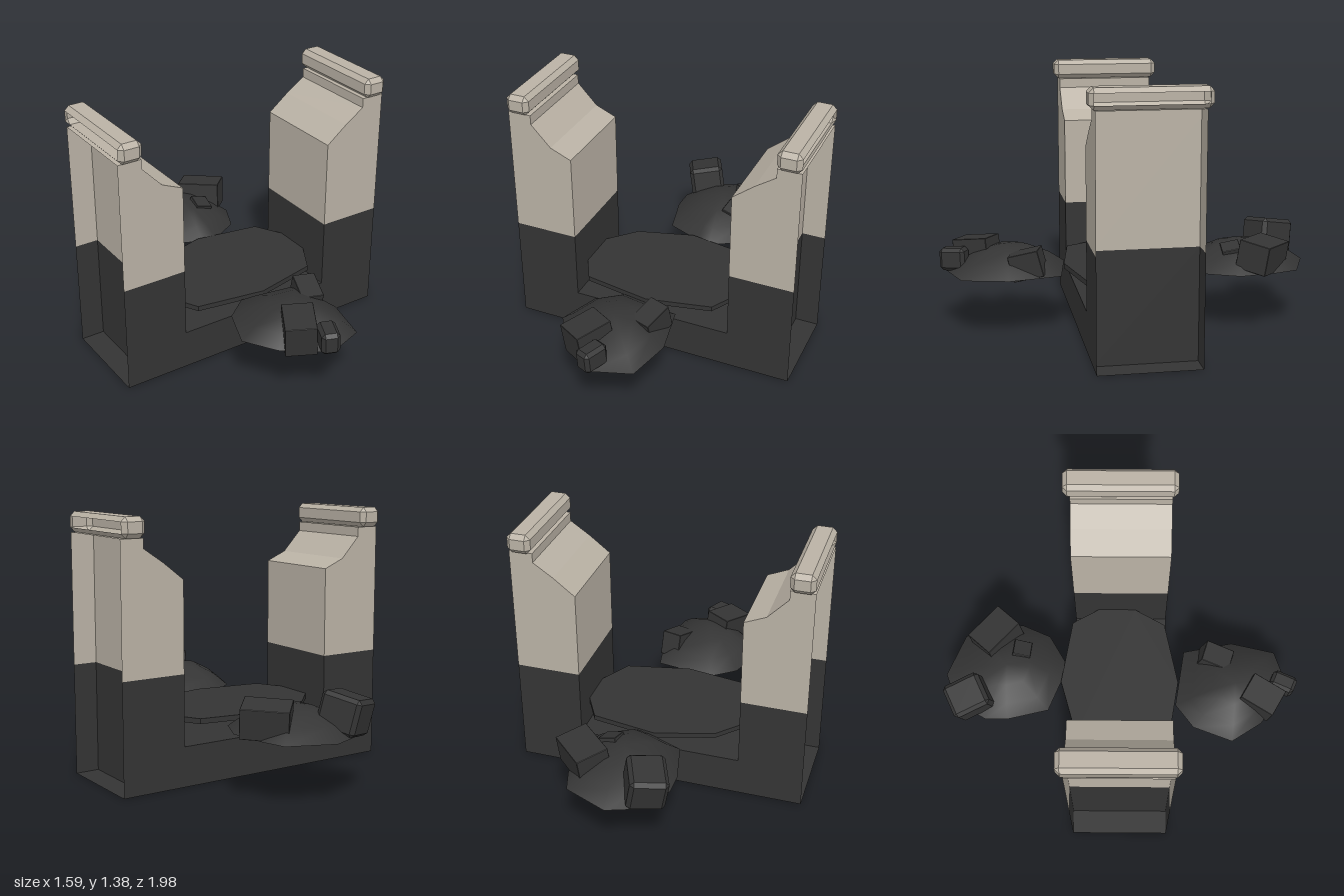
import * as THREE from 'three';
import { ConvexGeometry } from 'three/addons/geometries/ConvexGeometry.js';

export function createModel() {
  const model = new THREE.Group();
  const stone = new THREE.MeshStandardMaterial({ color: 0xbab2a5, side: THREE.DoubleSide });
  const black = new THREE.MeshStandardMaterial({ color: 0x343434, side: THREE.DoubleSide });
  stone.name = 'paleStone';
  black.name = 'charcoal';

  const add = (name, geometry, material, parent = model) => {
    const mesh = new THREE.Mesh(geometry, material);
    mesh.name = name;
    parent.add(mesh);
    return mesh;
  };

  const Z0 = -0.267, Z1 = 0.262, SPLIT = 0.587, TOP = 1.277;
  const INNER = 0.445, PANEL = 0.668, OUTER = 0.796;

  // Front-view outline pushed through the depth of the frame
  const slab = (pts, z0 = Z0, z1 = Z1) => {
    const shape = new THREE.Shape(pts.map(([x, y]) => new THREE.Vector2(x, y)));
    return new THREE.ExtrudeGeometry(shape, { depth: z1 - z0, bevelEnabled: false }).translate(0, 0, z0);
  };

  // Flat four-cornered sheet
  const sheet = (a, b, c, d) => {
    const g = new THREE.BufferGeometry();
    g.setAttribute('position', new THREE.Float32BufferAttribute([a, b, c, a, c, d].flat(), 3));
    g.computeVertexNormals();
    return g;
  };

  // Box with chamfered edges; openSide (+1 / -1) leaves out the flat face on that x side
  const chamferBox = (w, h, d, b, openSide = 0) => {
    const pts = [];
    for (const x of [-w / 2, w / 2]) for (const y of [-h / 2, h / 2]) for (const z of [-d / 2, d / 2]) {
      const sx = Math.sign(x) * b, sy = Math.sign(y) * b, sz = Math.sign(z) * b;
      pts.push(new THREE.Vector3(x, y - sy, z - sz), new THREE.Vector3(x - sx, y, z - sz),
        new THREE.Vector3(x - sx, y - sy, z));
    }
    const g = new ConvexGeometry(pts);
    if (!openSide) return g;
    const p = g.attributes.position, kept = [];
    for (let i = 0; i < p.count; i += 3) {
      const tri = [i, i + 1, i + 2];
      if (tri.every((k) => p.getX(k) * openSide > w / 2 - 1e-4)) continue;
      for (const k of tri) kept.push(p.getX(k), p.getY(k), p.getZ(k));
    }
    const open = new THREE.BufferGeometry();
    open.setAttribute('position', new THREE.Float32BufferAttribute(kept, 3));
    open.computeVertexNormals();
    return open;
  };

  // Dark U-shaped base
  add('base', slab([[-PANEL, 0], [PANEL, 0], [PANEL, SPLIT], [INNER, SPLIT], [INNER, 0.212],
    [-INNER, 0.212], [-INNER, SPLIT], [-PANEL, SPLIT]]), black);

  // Side walls, each hollow on its outer side, with a bar on top
  for (const s of [-1, 1]) {
    const wall = new THREE.Group();
    wall.name = s > 0 ? 'leftWall' : 'rightWall';
    model.add(wall);
    const kink = s > 0 ? 1.153 : 1.112;
    const p = [[INNER, SPLIT], [PANEL, SPLIT], [PANEL, 1.226], [0.56, kink], [INNER, 1.063]];
    add('wallCore', slab(p.map(([x, y]) => [s * x, y])), stone, wall);
    const a = s * PANEL, b = s * OUTER;
    for (const z of [Z0, Z1]) {
      add('lowerFlange', sheet([a, 0, z], [b, 0, z], [b, SPLIT, z], [a, SPLIT, z]), black, wall);
      add('upperFlange', sheet([a, SPLIT, z], [b, SPLIT, z], [b, TOP, z], [a, TOP, z]), stone, wall);
    }
    add('recessFloor', sheet([a, 0, Z0], [b, 0, Z0], [b, 0, Z1], [a, 0, Z1]), black, wall);
    add('recessTop', sheet([a, TOP, Z0], [b, TOP, Z0], [b, TOP, Z1], [a, TOP, Z1]), stone, wall);
    add('upperPanel', sheet([a, 1.22, Z0], [a, 1.22, Z1], [a, TOP, Z1], [a, TOP, Z0]), stone, wall);
    add('topBar', chamferBox(0.128, 0.105, 0.595, 0.024, s), stone, wall)
      .position.set(s * 0.732, 1.331, -0.006);
  }

  // Thin faceted plate held between the walls
  const plate = slab([[0, 0.34], [0.36, 0.28], [0.445, 0.13], [0.5, 0.03], [0.445, -0.08], [0.35, -0.25],
    [0, -0.325], [-0.37, -0.265], [-0.45, -0.12], [-0.53, 0], [-0.45, 0.1], [-0.31, 0.25]], 0, 0.028);
  add('plate', plate.rotateX(-Math.PI / 2).translate(0, 0.321, 0), black);

  // Smooth low mound: rim scaled inward to an apex, closed below
  const mound = (rim, cx, cz) => {
    const n = rim.length, pos = [], index = [];
    for (const [k, y] of [[1, 0.33], [0.75, 0.39], [0.4, 0.445]])
      for (const [x, z] of rim) pos.push(cx + (x - cx) * k, y, cz + (z - cz) * k);
    pos.push(cx, 0.465, cz);
    for (const [x, z] of rim) pos.push(x, 0.33, z);
    pos.push(cx, 0.318, cz);
    for (let i = 0; i < n; i++) {
      const j = (i + 1) % n;
      for (let r = 0; r < 2; r++) {
        const a = r * n + i, b = r * n + j;
        index.push(a, a + n, b, b, a + n, b + n);
      }
      index.push(2 * n + i, 3 * n, 2 * n + j);
      index.push(3 * n + 1 + i, 3 * n + 1 + j, 4 * n + 1);
    }
    const g = new THREE.BufferGeometry();
    g.setAttribute('position', new THREE.Float32BufferAttribute(pos, 3));
    g.setIndex(index);
    g.computeVertexNormals();
    return g;
  };
  // Rims run clockwise seen from above
  add('frontMound', mound([[-0.13, 0.31], [0.19, 0.36], [0.245, 0.635], [0.19, 0.88], [-0.02, 0.95],
    [-0.235, 0.79], [-0.34, 0.625], [-0.26, 0.41]], -0.04, 0.64), black);
  add('backMound', mound([[0.045, -0.995], [0.28, -0.895], [0.32, -0.77], [0.35, -0.57], [0.28, -0.41],
    [0.11, -0.31], [0.03, -0.33], [-0.165, -0.41], [-0.22, -0.64], [-0.22, -0.76], [-0.13, -0.93]],
  0.06, -0.64), black);

  // Tilted blocks: size, chamfer, position, rotation
  const blocks = [
    ['frontBlock', [0.16, 0.17, 0.2], 0.002, [-0.105, 0.405, 0.785], [0.08, -0.52, 0.1]],
    ['frontSmallBlock', [0.095, 0.12, 0.14], 0.018, [-0.02, 0.398, 0.91], [0.03, -0.4, 0.05]],
    ['frontInnerBlock', [0.12, 0.14, 0.165], 0.002, [0.13, 0.39, 0.53], [0.25, -0.3, 0.05]],
    ['backBlock', [0.195, 0.19, 0.215], 0.02, [-0.12, 0.43, -0.845], [-0.12, 0.42, 0.2]],
    ['backSideBlock', [0.24, 0.155, 0.175], 0.002, [0.255, 0.42, -0.71], [-0.14, -0.74, -0.07]],
    ['backInnerBlock', [0.1, 0.12, 0.1], 0.002, [0.15, 0.395, -0.57], [0.25, -0.15, -0.25]],
  ];
  for (const [name, size, chamfer, at, [rx, ry, rz]] of blocks) {
    const block = add(name, chamferBox(...size, chamfer), black);
    block.position.set(...at);
    block.rotation.set(rx, ry, rz, 'XZY');
  }
  return model;
}
